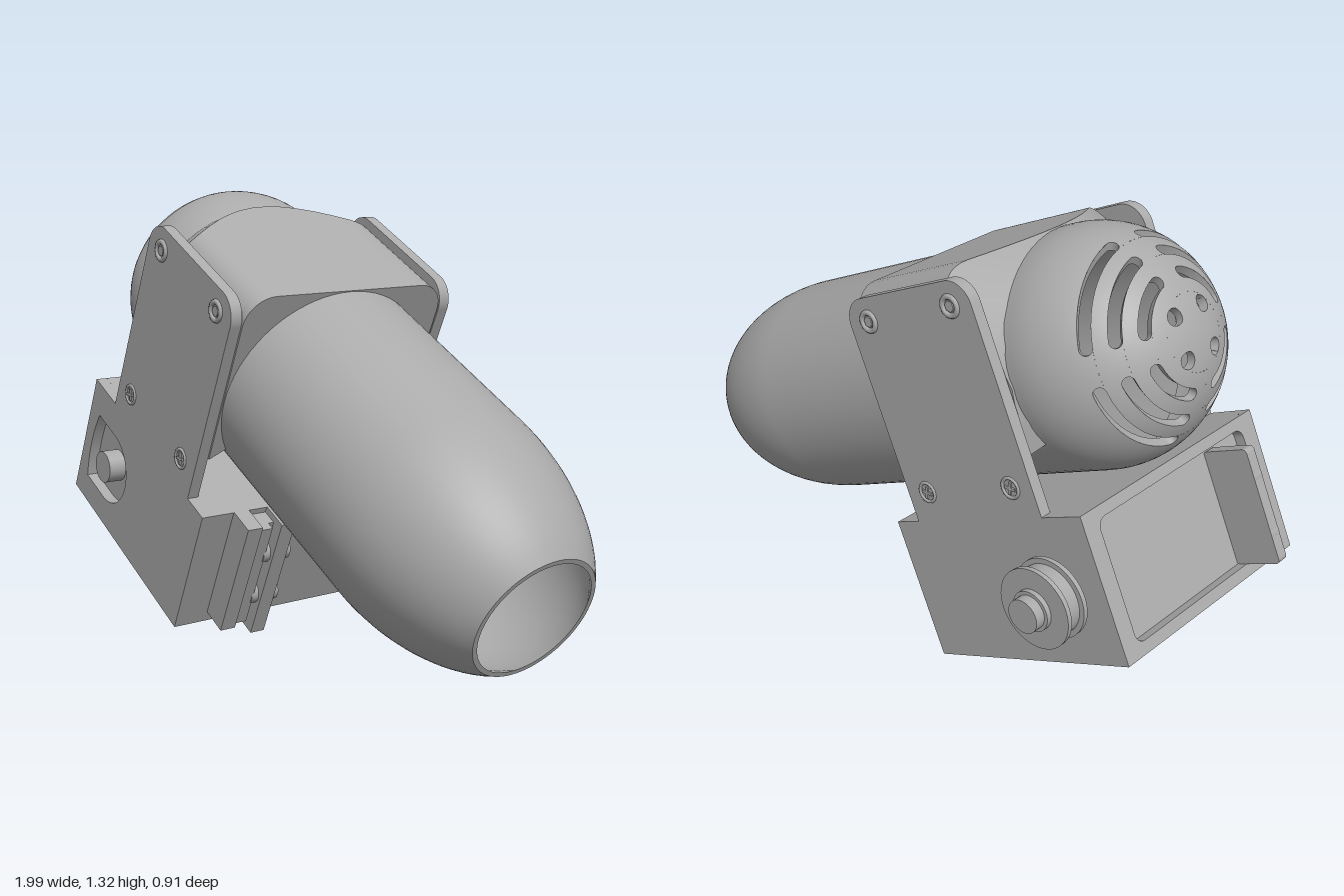
import * as THREE from 'three';
import { toCreasedNormals } from 'three/addons/utils/BufferGeometryUtils.js';
import { ParametricGeometry } from 'three/addons/geometries/ParametricGeometry.js';

const AXIS_Y = 0.685, AXIS_Z = 0.06, R = 0.335, DOME_X = -0.861;
const rad = THREE.MathUtils.degToRad;

export function createModel() {
  const grey = new THREE.MeshStandardMaterial({ color: 0xaaaaaa, side: THREE.DoubleSide });
  grey.name = 'grey';
  const root = new THREE.Group();
  root.name = 'tiltedLampUnit';
  const body = new THREE.Group();
  body.name = 'body';
  body.rotation.z = rad(-25.6);
  root.add(body);

  const add = (name, geo, x = 0, y = 0, z = 0) => {
    const m = new THREE.Mesh(geo, grey);
    m.name = name;
    m.position.set(x, y, z);
    body.add(m);
    return m;
  };
  // box given by its limits
  const box = (name, x0, x1, y0, y1, z0, z1) =>
    add(name, new THREE.BoxGeometry(x1 - x0, y1 - y0, z1 - z0), (x0 + x1) / 2, (y0 + y1) / 2, (z0 + z1) / 2);
  // disc or pin along z
  const pin = (name, x, y, r, z0, z1, sides = 40) =>
    add(name, new THREE.CylinderGeometry(r, r, z1 - z0, sides).rotateX(Math.PI / 2), x, y, (z0 + z1) / 2);
  // turned part along the barrel axis, profile as [radius, x]
  const turned = (name, pts) => {
    const g = new THREE.LatheGeometry(pts.map(p => new THREE.Vector2(p[0], p[1])), 72).rotateZ(-Math.PI / 2);
    add(name, toCreasedNormals(g, rad(28)), 0, AXIS_Y, AXIS_Z);
  };
  const extrude = (shape, depth) =>
    new THREE.ExtrudeGeometry(shape, { depth, bevelEnabled: false, curveSegments: 20 });
  const roundRect = (P, x0, x1, y0, y1, r) => {
    const p = new P();
    p.absarc(x1 - r, y1 - r, r, 0, Math.PI / 2);
    p.absarc(x0 + r, y1 - r, r, Math.PI / 2, Math.PI);
    p.absarc(x0 + r, y0 + r, r, Math.PI, Math.PI * 1.5);
    p.absarc(x1 - r, y0 + r, r, Math.PI * 1.5, Math.PI * 2);
    p.closePath();
    return p;
  };

  // barrel with tapering nose and hollow mouth
  const outer = [[R, DOME_X], [R, -0.3]], inner = [];
  for (let i = 0; i <= 20; i++) {
    const x = 0.24 + 0.45 * i / 20;
    const r = R * Math.sqrt(1 - ((x - 0.24) / 0.546) ** 2);
    outer.push([r, x]);
    inner.unshift([r - 0.014, x]);
  }
  turned('barrel', [...outer, ...inner, [R - 0.014, -0.3], [R - 0.014, DOME_X]]);
  turned('innerReflector', [[R - 0.015, -0.05], [0.28, 0], [0.16, 0.1], [0.06, 0.16], [0, 0.17]]);

  // rear dome: plain bands alternating with bands of rounded vents
  const onDome = (polar, az, r, t) => t.set(
    DOME_X - r * Math.cos(polar),
    AXIS_Y + r * Math.sin(polar) * Math.sin(az),
    AXIS_Z + r * Math.sin(polar) * Math.cos(az));
  for (const [a, b] of [[0, 10], [18, 25], [31, 38], [44, 51], [57, 90]]) {
    add('domeBand', new ParametricGeometry((u, v, t) =>
      onDome(rad(a + (b - a) * v), u * Math.PI * 2, R, t), 72, Math.ceil((b - a) / 3)));
  }
  for (const [a, b, half] of [[10, 18, 16.5], [25, 31, 33], [38, 44, 35], [51, 57, 36]]) {
    const mid = rad((a + b) / 2), h = rad((b - a) / 2), cap = h / Math.sin(mid);
    const reach = q => rad(half) - cap * (1 - Math.cos(q));
    for (let k = 0; k < 4; k++) {
      const c = Math.PI / 4 + k * Math.PI / 2;
      add('domeRib', new ParametricGeometry((u, v, t) => {
        const q = (v - 0.5) * Math.PI, e = reach(q);
        return onDome(mid + h * Math.sin(q), c + e + u * (Math.PI / 2 - 2 * e), R, t);
      }, 12, 10));
      add('ventWall', new ParametricGeometry((u, v, t) => {
        const seg = Math.min(3, Math.floor(u * 4)), f = u * 4 - seg;
        const flat = reach(Math.PI / 2);
        const q = [(f - 0.5) * Math.PI, Math.PI / 2, (0.5 - f) * Math.PI, -Math.PI / 2][seg];
        const e = [reach(q), flat * (1 - 2 * f), -reach(q), flat * (2 * f - 1)][seg];
        return onDome(mid + h * Math.sin(q), c + e, R - 0.025 * v, t);
      }, 48, 1));
    }
  }

  // clamp housing: rounded square section, cone-chamfered towards the dome
  const W = 0.338, C = 0.09, section = [[W, -0.2], [W, -0.1], [W, 0], [W, 0.12]];
  for (let i = 0; i <= 8; i++) {
    const a = i / 8 * Math.PI / 2;
    section.push([W - C + C * Math.cos(a), W - C + C * Math.sin(a)]);
  }
  for (const x of [0.2, 0.15, 0.1, 0.05]) section.push([x, W]);
  const full = [...section, [0, W], ...section.map(([z, y]) => [-z, y]).reverse()];
  const rings = full.map(([z, y]) => {
    const r = Math.hypot(z, y), k = R / r;
    return [[-0.842, y * k, z * k], [-0.842 + (r - R) * 1.25, y, z], [-0.34, y, z], [-0.34, y * k, z * k]];
  });
  const pos = [];
  for (let i = 0; i + 1 < rings.length; i++) {
    for (let j = 0; j < 3; j++) {
      const [p, q, s, t] = [rings[i][j], rings[i][j + 1], rings[i + 1][j + 1], rings[i + 1][j]];
      pos.push(...p, ...s, ...q, ...p, ...t, ...s);
    }
  }
  const hg = new THREE.BufferGeometry();
  hg.setAttribute('position', new THREE.Float32BufferAttribute(pos, 3));
  // wind all faces outwards
  hg.computeVertexNormals();
  if (hg.attributes.normal.getZ(6) < 0) {
    for (let i = 0; i < pos.length; i += 9) {
      for (let k = 0; k < 3; k++) [pos[i + 3 + k], pos[i + 6 + k]] = [pos[i + 6 + k], pos[i + 3 + k]];
    }
    hg.setAttribute('position', new THREE.Float32BufferAttribute(pos, 3));
  }
  add('clampHousing', toCreasedNormals(hg, rad(25)), 0, AXIS_Y, AXIS_Z);

  // side plates: box cheek with a rounded upright tab
  const HX = -0.8, HY = 0.132;
  const plateShape = () => {
    const s = new THREE.Shape();
    s.moveTo(-0.976, -0.07);
    s.lineTo(-0.25, -0.07);
    s.lineTo(-0.25, 0.348);
    s.lineTo(-0.343, 0.348);
    s.absarc(-0.415, 0.93, 0.072, 0, Math.PI / 2);
    s.absarc(-0.766, 0.93, 0.072, Math.PI / 2, Math.PI);
    s.lineTo(-0.838, 0.348);
    s.lineTo(-0.976, 0.348);
    s.closePath();
    return s;
  };
  const left = plateShape();
  const pocket = new THREE.Path();
  pocket.moveTo(-0.915, HY - 0.118);
  pocket.absarc(HX, HY, 0.118, -Math.PI / 2, Math.PI / 2);
  pocket.lineTo(-0.915, HY + 0.118);
  pocket.quadraticCurveTo(-0.945, HY, -0.915, HY - 0.118);
  left.holes.push(pocket);
  add('leftPlate', extrude(left, 0.035), 0, 0, 0.4);
  add('rightPlate', extrude(plateShape(), 0.035), 0, 0, -0.32);

  // screws on both plates
  for (const [face, dir] of [[0.435, 1], [-0.32, -1]]) {
    for (const x of [-0.76, -0.425]) {
      add('topScrewRing', new THREE.TorusGeometry(0.026, 0.008, 8, 28), x, 0.935, face);
      pin('topScrewCore', x, 0.935, 0.016, face - 0.004, face + 0.004, 6);
      add('lowerScrewRing', new THREE.TorusGeometry(0.028, 0.005, 8, 28), x, 0.434, face);
      for (const a of [0.4, 0.4 + Math.PI / 2]) {
        const bar = add('screwCross', new THREE.BoxGeometry(0.036, 0.008, 0.008), x, 0.434, face + dir * 0.001);
        bar.rotation.z = a;
      }
    }
  }

  // base box with recessed rear panel
  box('baseBox', -0.945, -0.25, -0.07, 0.348, -0.285, 0.4);
  const frame = roundRect(THREE.Shape, -0.285, 0.4, -0.07, 0.348, 0.001);
  frame.holes.push(roundRect(THREE.Path, -0.265, 0.375, -0.035, 0.315, 0.03));
  add('rearFrame', extrude(frame, 0.031).rotateY(-Math.PI / 2), -0.945);

  // rear lug with two holes
  const lug = roundRect(THREE.Shape, -1.09, -0.94, -0.035, 0.302, 0.015);
  for (const y of [0.051, 0.219]) {
    const hole = new THREE.Path();
    hole.absarc(-1.049, y, 0.042, 0, Math.PI * 2);
    lug.holes.push(hole);
  }
  add('rearLug', extrude(lug, 0.036), 0, 0, 0.23);

  // front connector plates and bolts
  box('connectorPlate', -0.25, -0.16, -0.07, 0.35, 0.17, 0.217);
  box('connectorPlate', -0.25, -0.163, -0.035, 0.35, 0.28, 0.33);
  box('connectorCore', -0.25, -0.175, -0.03, 0.33, 0.235, 0.28);
  box('connectorWeb', -0.25, -0.2, -0.03, 0.33, 0.21, 0.24);
  for (const y of [0.06, 0.22]) pin('connectorBolt', -0.205, y, 0.034, 0.147, 0.24);

  // pivot shaft and pulley
  pin('pivotShaft', HX, HY, 0.05, 0.39, 0.455);
  for (const [r, z0, z1] of [[0.09, -0.335, -0.32], [0.115, -0.347, -0.333], [0.1, -0.397, -0.345],
    [0.115, -0.41, -0.396], [0.058, -0.425, -0.41], [0.048, -0.455, -0.42]]) {
    pin('pulley', HX, HY, r, z0, z1, 48);
  }
  return root;
}
